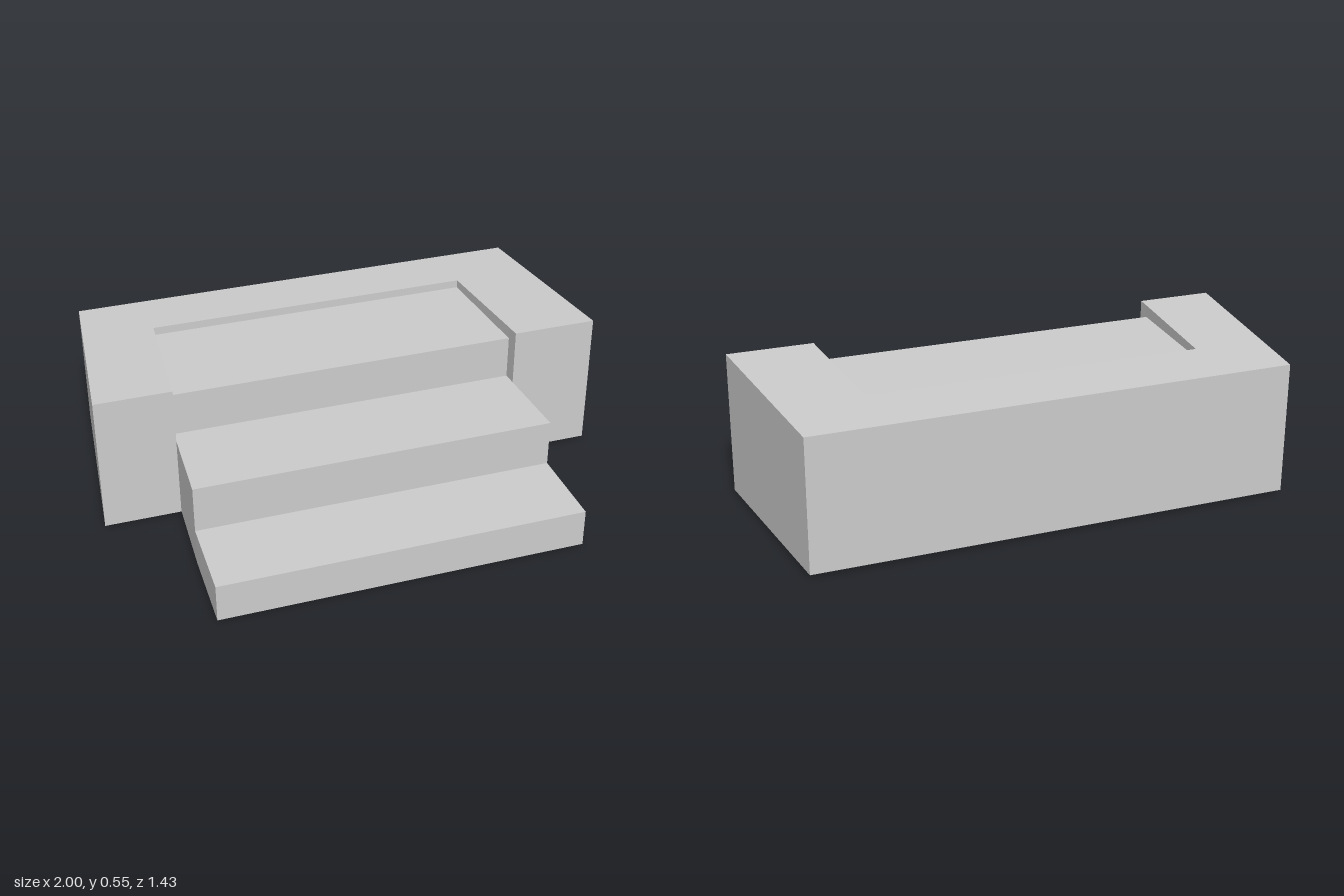
import * as THREE from 'three';

const material = new THREE.MeshStandardMaterial({ color: 0xcccccc, flatShading: true });

// The underside rises very slightly towards the back
const bottomY = (z) => 0.0065 - 0.009 * z;

// Solid standing on an [x, z] outline, with a sloping top given by topY(z)
function slab(name, outline, topY) {
  const shape = new THREE.Shape(outline.map(([x, z]) => new THREE.Vector2(x, -z)));
  const geometry = new THREE.ExtrudeGeometry(shape, { depth: 1, bevelEnabled: false });
  geometry.rotateX(-Math.PI / 2);
  const p = geometry.attributes.position;
  for (let i = 0; i < p.count; i++) {
    const z = p.getZ(i);
    p.setY(i, p.getY(i) > 0.5 ? topY(z) : bottomY(z));
  }
  geometry.computeVertexNormals();
  const mesh = new THREE.Mesh(geometry, material);
  mesh.name = name;
  return mesh;
}

// Edge lines shared by the steps: z, right x, left x (front to back)
const edges = [
  [0.715, -0.725, 0.685],
  [0.38, -0.718, 0.68],
  [0, -0.7, 0.66],
  [-0.47, -0.665, 0.625],
];

export function createModel() {
  const model = new THREE.Group();

  // Two steps and the landing, each between neighbouring edge lines
  const tops = [
    ['lowerStep', () => 0.15],
    ['upperStep', (z) => 0.33 + 0.014 * z],
    ['landing', (z) => 0.503 + 0.012 * z],
  ];
  tops.forEach(([name, topY], i) => {
    const [zf, rf, lf] = edges[i];
    const [zb, rb, lb] = edges[i + 1];
    model.add(slab(name, [[rf, zf], [lf, zf], [lb, zb], [rb, zb]], topY));
  });

  // U-shaped surround, tapering and sloping down to the back
  model.add(slab('surround', [
    [-1, 0.055], [-0.703, 0.055], [-0.7, 0], [-0.665, -0.47],
    [0.625, -0.47], [0.66, 0], [0.663, 0.055], [0.995, 0.055],
    [0.915, -0.718], [-0.92, -0.718],
  ], (z) => 0.5505 + 0.045 * z));

  return model;
}
